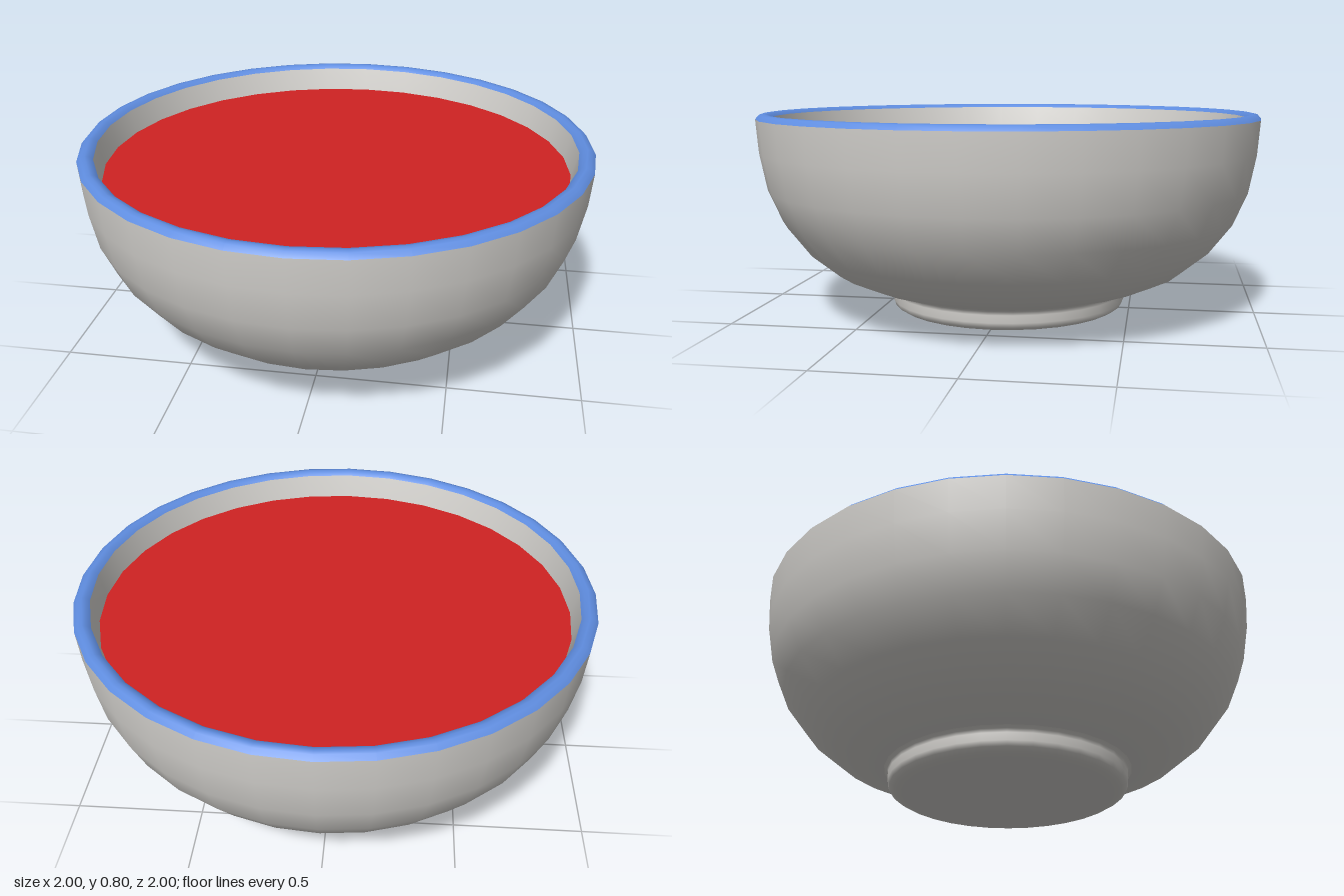
import * as THREE from 'three';

const SIDES = 32;

function lathe(name, points, material) {
  const profile = points.map(([r, y]) => new THREE.Vector2(r, y));
  const mesh = new THREE.Mesh(new THREE.LatheGeometry(profile, SIDES), material);
  mesh.name = name;
  return mesh;
}

function flat(name, color) {
  const material = new THREE.MeshStandardMaterial({ color });
  material.name = name;
  return material;
}

export function createModel() {
  const ceramic = flat('ceramic', 0xd6d4d0);
  const blue = flat('blueGlaze', 0x5f8de0);
  const red = flat('redSoup', 0xd02323);

  const bowl = new THREE.Group();
  bowl.name = 'bowlOfSoup';

  // Foot: flat underside, softly rounded edge, short upright ring
  bowl.add(lathe('foot', [
    [0, 0], [0.42, 0], [0.45, 0.008], [0.47, 0.02], [0.477, 0.04], [0.477, 0.07], [0.48, 0.085], [0.5, 0.097],
  ], ceramic));

  // Outer wall
  bowl.add(lathe('outerWall', [
    [0.49, 0.092], [0.6, 0.125], [0.71, 0.175], [0.82, 0.265],
    [0.908, 0.38], [0.962, 0.505], [0.99, 0.65], [1, 0.78],
  ], ceramic));

  // Glazed rim, bevelled on both edges
  bowl.add(lathe('rim', [
    [1, 0.78], [0.985, 0.797], [0.968, 0.8], [0.952, 0.797], [0.938, 0.785],
  ], blue));

  // Inner wall, running down to the floor of the bowl
  bowl.add(lathe('innerWall', [
    [0.938, 0.785], [0.916, 0.69], [0.885, 0.53], [0.83, 0.41],
    [0.75, 0.31], [0.62, 0.22], [0.45, 0.16], [0, 0.14],
  ], ceramic));

  // Soup surface
  bowl.add(lathe('soup', [[0.916, 0.69], [0, 0.69]], red));

  return bowl;
}
